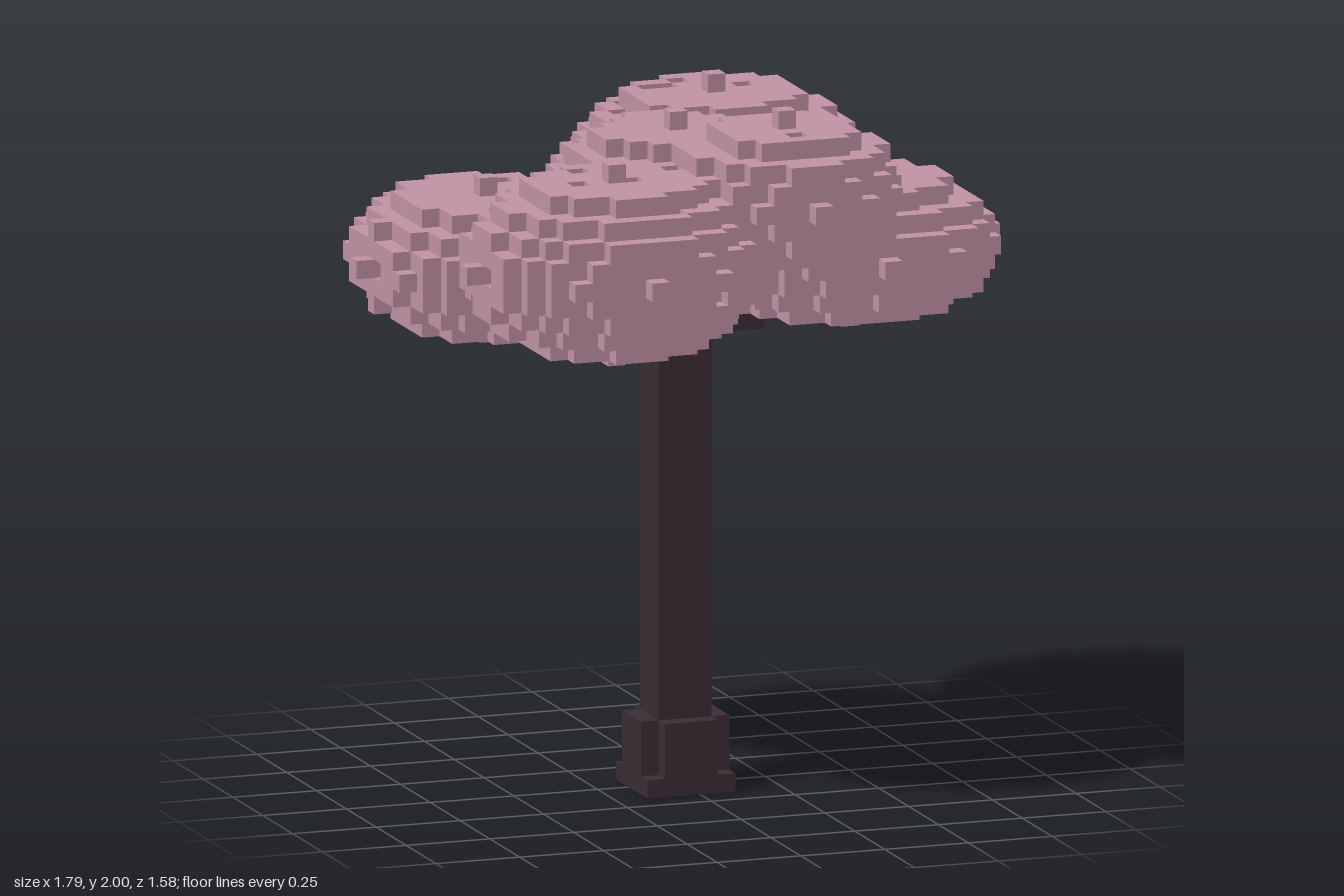
import * as THREE from 'three';

const V = 1 / 19; // size of one cube

// Leaf clumps in cube units: centre cell, then radii
const CLUMPS = [
  [-10, 28, -5, 7, 4, 8],
  [4, 31, -8, 8, 5, 7],
  [8, 29, 2, 8, 4, 7],
  [3, 33, 6, 6, 4, 6],
  [-7, 30, 7, 8, 5, 7],
  [-1, 31, 0, 7, 5, 7],
];

// Box covering cells from a (inclusive) to b (exclusive)
function block(name, material, a, b) {
  const s = b.map((v, i) => (v - a[i]) * V);
  const mesh = new THREE.Mesh(new THREE.BoxGeometry(...s), material);
  mesh.position.set(...a.map((v, i) => ((v + b[i]) / 2) * V));
  mesh.name = name;
  return mesh;
}

// Small seeded random generator
function seeded(seed) {
  return () => {
    seed = (seed * 1664525 + 1013904223) >>> 0;
    return seed / 4294967296;
  };
}

const key = (x, y, z) => x + ',' + y + ',' + z;

// Fill the clumps with cubes, then pick out a few surface cubes
function leafCells() {
  const cells = new Map();
  const tips = new Set();
  for (const [cx, cy, cz, rx, ry, rz] of CLUMPS) {
    for (let x = -rx; x <= rx; x++)
      for (let y = -ry; y <= ry; y++)
        for (let z = -rz; z <= rz; z++) {
          const d = (x / rx) ** 2 + (y / ry) ** 2 + (z / rz) ** 2;
          if (d > 1.00001) continue;
          const p = [cx + x, cy + y, cz + z];
          cells.set(key(...p), p);
          if ((x === 0) + (y === 0) + (z === 0) === 2 && d > 0.999) tips.add(key(...p));
        }
  }
  const random = seeded(7);
  const holes = [];
  for (const [k, [x, y, z]] of cells) {
    const around = [[1, 0, 0], [-1, 0, 0], [0, 1, 0], [0, -1, 0], [0, 0, 1], [0, 0, -1]];
    const open = around.filter(([i, j, l]) => !cells.has(key(x + i, y + j, z + l))).length;
    if (open === 1 && !tips.has(k) && random() < 0.05) holes.push(k);
  }
  holes.forEach((k) => cells.delete(k));
  return cells;
}

// Only the exposed cube faces
function cubeSurface(cells) {
  const position = [], normal = [], index = [];
  for (const p of cells.values()) {
    for (let axis = 0; axis < 3; axis++) {
      for (const side of [1, -1]) {
        const n = [0, 0, 0];
        n[axis] = side;
        if (cells.has(key(p[0] + n[0], p[1] + n[1], p[2] + n[2]))) continue;
        const start = position.length / 3;
        for (const [s, t] of [[0, 0], [1, 0], [1, 1], [0, 1]]) {
          const c = p.slice();
          c[axis] += side > 0 ? 1 : 0;
          c[(axis + 1) % 3] += side > 0 ? s : t;
          c[(axis + 2) % 3] += side > 0 ? t : s;
          position.push(c[0] * V, c[1] * V, c[2] * V);
          normal.push(...n);
        }
        index.push(start, start + 1, start + 2, start, start + 2, start + 3);
      }
    }
  }
  const g = new THREE.BufferGeometry();
  g.setAttribute('position', new THREE.Float32BufferAttribute(position, 3));
  g.setAttribute('normal', new THREE.Float32BufferAttribute(normal, 3));
  g.setIndex(index);
  return g;
}

export function createModel() {
  const bark = new THREE.MeshStandardMaterial({ color: 0x3b2d35 });
  bark.name = 'dark bark';
  const blossom = new THREE.MeshStandardMaterial({ color: 0xc293a5 });
  blossom.name = 'pink blossom';

  const tree = new THREE.Group();
  tree.name = 'blossomTree';

  // Trunk with a square foot and cross-shaped roots
  tree.add(
    block('trunk', bark, [-2, 0, -1], [1, 27, 2]),
    block('foot', bark, [-3, 0, -2], [2, 1, 3]),
    block('rootsAcross', bark, [-3, 1, -1], [2, 4, 2]),
    block('rootsAlong', bark, [-2, 1, -2], [1, 4, 3]),
  );

  // Short branches reaching towards the clumps
  tree.add(
    block('branchRight', bark, [-4, 25, -2], [-2, 26, 0]),
    block('branchRightEnd', bark, [-6, 25, -3], [-4, 26, -1]),
    block('branchLeft', bark, [1, 25, 0], [4, 26, 2]),
    block('branchBack', bark, [0, 26, -3], [2, 27, -1]),
    block('branchBackEnd', bark, [1, 26, -4], [3, 27, -2]),
    block('branchFront', bark, [-4, 26, 1], [-2, 27, 3]),
    block('branchFrontEnd', bark, [-5, 26, 3], [-3, 27, 5]),
  );

  // Crown of blossom
  const crown = new THREE.Mesh(cubeSurface(leafCells()), blossom);
  crown.name = 'crown';
  tree.add(crown);
  return tree;
}
